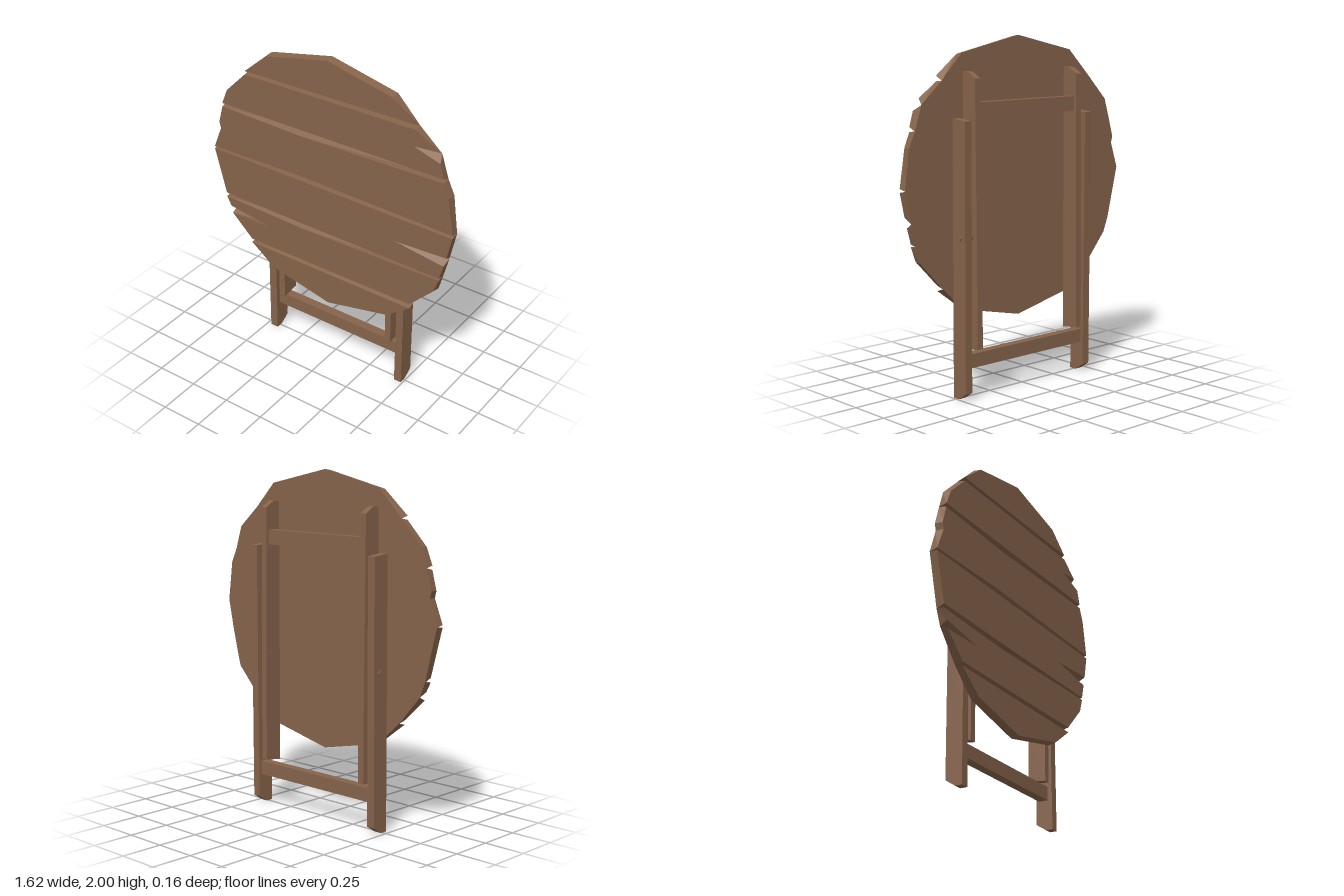
import * as THREE from 'three';

const wood = new THREE.MeshStandardMaterial({ color: 0x86634a });
wood.name = 'brown wood';

const FRONT = 0.08, BACK = 0.032, CENTRE_Y = 1.2;

// Corner of a plank: its place on the front face and on the back face
const corner = (x, y, backX, backY) => ({ front: new THREE.Vector2(x, y), back: new THREE.Vector2(backX, backY) });

// Rim corner, slightly bevelled towards the front
const rim = (x, y) => corner(x * 0.993, CENTRE_Y + (y - CENTRE_Y) * 0.99, x, y);

// Wedge split running in from the rim, closed at the back
const crack = (x0, y0, tipX, tipY, x1, y1) => {
  const x = (x0 + x1) / 2, y = (y0 + y1) / 2;
  return [corner(x0, y0, x, y), corner(tipX, tipY, tipX, tipY), corner(x1, y1, x, y)];
};

// Right half upwards, then left half downwards
const risingRim = [
  rim(0, 0.4), rim(0.41, 0.49), rim(0.715, 0.79), ...crack(0.765, 0.983, 0.45, 1.025, 0.78, 1.042),
  rim(0.78, 1.42), ...crack(0.715, 1.61, 0.55, 1.66, 0.675, 1.675), rim(0.415, 1.91), rim(0, 2),
];
const fallingRim = [
  rim(-0.405, 1.91), rim(-0.705, 1.61), rim(-0.775, 1.38), rim(-0.765, 1.34),
  ...crack(-0.71, 0.822, -0.42, 0.78, -0.7, 0.775), rim(-0.405, 0.49),
];

// V grooves between planks: ends, and how far each lip opens at left, middle, right
const seams = [
  { from: [-0.56, 0.63], to: [0.56, 0.628], above: [0.012, 0.011, 0.012], below: [0.012, 0.015, 0.018] },
  { from: [-0.74, 0.886], to: [0.74, 0.883], above: [0.019, 0.012, 0.009], below: [0.006, 0.023, 0.005] },
  { from: [-0.815, 1.19], to: [0.81, 1.19], above: [0.01, 0.026, 0.01], below: [0.004, 0.005, 0.01] },
  { from: [-0.74, 1.5], to: [0.74, 1.505], above: [0.01, 0.014, 0.02], below: [0.012, 0.026, 0.005] },
  { from: [-0.565, 1.753], to: [0.555, 1.765], above: [0.012, 0.018, 0.025], below: [0.01, 0.007, 0.005] },
];

// Three corners along one lip of a groove, left to right
function lip({ from, to }, opening, sign) {
  const [a, b] = [new THREE.Vector2(...from), new THREE.Vector2(...to)];
  return [0, 0.38, 1].map((t, i) => {
    const p = a.clone().lerp(b, t);
    return corner(p.x, p.y + sign * opening[i], p.x, p.y);
  });
}

// Corners of the plank between two grooves, counter-clockwise from the front
function plankCorners(lower, upper) {
  const inside = ({ back }) => (!lower || back.y > lower.from[1]) && (!upper || back.y < upper.from[1]);
  return [
    ...(lower ? lip(lower, lower.above, 1) : []),
    ...risingRim.filter(inside),
    ...(upper ? lip(upper, upper.below, -1).reverse() : []),
    ...fallingRim.filter(inside),
  ];
}

// Joins the front polygon of a plank to its back polygon
function plankGeometry(corners) {
  const n = corners.length;
  const index = [];
  for (const [a, b, c] of THREE.ShapeUtils.triangulateShape(corners.map(p => p.front), [])) {
    index.push(a, b, c, n + a, n + c, n + b);
  }
  for (let i = 0; i < n; i++) {
    const j = (i + 1) % n;
    index.push(i, n + i, j, j, n + i, n + j);
  }
  const indexed = new THREE.BufferGeometry().setFromPoints([
    ...corners.map(({ front }) => new THREE.Vector3(front.x, front.y, FRONT)),
    ...corners.map(({ back }) => new THREE.Vector3(back.x, back.y, BACK)),
  ]);
  indexed.setIndex(index);
  const geometry = indexed.toNonIndexed();
  geometry.computeVertexNormals();
  return geometry;
}

// Leg cut from a side profile of [z, y] points, spanning x0 to x1
function legGeometry(profile, x0, x1) {
  const shape = new THREE.Shape(profile.map(([z, y]) => new THREE.Vector2(-z, y)));
  return new THREE.ExtrudeGeometry(shape, { depth: x1 - x0, bevelEnabled: false })
    .rotateY(Math.PI / 2).translate(x0, 0, 0);
}

// Crossbar from x0 to x1 and y0 to y1
function barGeometry(x0, x1, y0, y1) {
  return new THREE.BoxGeometry(x1 - x0, y1 - y0, 0.055)
    .translate((x0 + x1) / 2, (y0 + y1) / 2, -0.0275);
}

// Six-sided pin lying along x
function pinGeometry(x0, x1) {
  const pin = new THREE.CylinderGeometry(0.019, 0.019, x1 - x0, 6).toNonIndexed();
  pin.computeVertexNormals();
  return pin.rotateZ(Math.PI / 2).translate((x0 + x1) / 2, 0.91, -0.03);
}

export function createModel() {
  const model = new THREE.Group();
  model.name = 'foldedTable';
  const add = (name, geometry, parent = model) => {
    const mesh = new THREE.Mesh(geometry, wood);
    mesh.name = name;
    parent.add(mesh);
  };

  // Round top of six rough planks
  const top = new THREE.Group();
  top.name = 'tableTop';
  model.add(top);
  for (let i = 0; i <= seams.length; i++) {
    add(`plank${i + 1}`, plankGeometry(plankCorners(seams[i - 1], seams[i])), top);
  }

  // Folded legs: the outer pair reaches the floor, the inner pair the top
  const outer = [[0.03, 0], [-0.012, 0], [-0.073, 0.04], [-0.08, 1.55], [0.022, 1.56]];
  const inner = [[0.03, 0.265], [-0.08, 0.28], [-0.08, 0.57], [-0.07, 1.775], [-0.012, 1.81], [0.032, 1.81]];
  add('rightOuterLeg', legGeometry(outer, -0.475, -0.425));
  add('leftOuterLeg', legGeometry(outer, 0.443, 0.49));
  add('rightInnerLeg', legGeometry(inner, -0.4, -0.36));
  add('leftInnerLeg', legGeometry(inner, 0.37, 0.408));

  // Crossbars between each pair
  add('lowerCrossbar', barGeometry(-0.43, 0.45, 0.175, 0.255));
  add('upperCrossbar', barGeometry(-0.37, 0.38, 1.56, 1.645));

  // Pivot pins through both legs on each side
  add('rightPivotPin', pinGeometry(-0.483, -0.357));
  add('leftPivotPin', pinGeometry(0.367, 0.498));

  return model;
}
